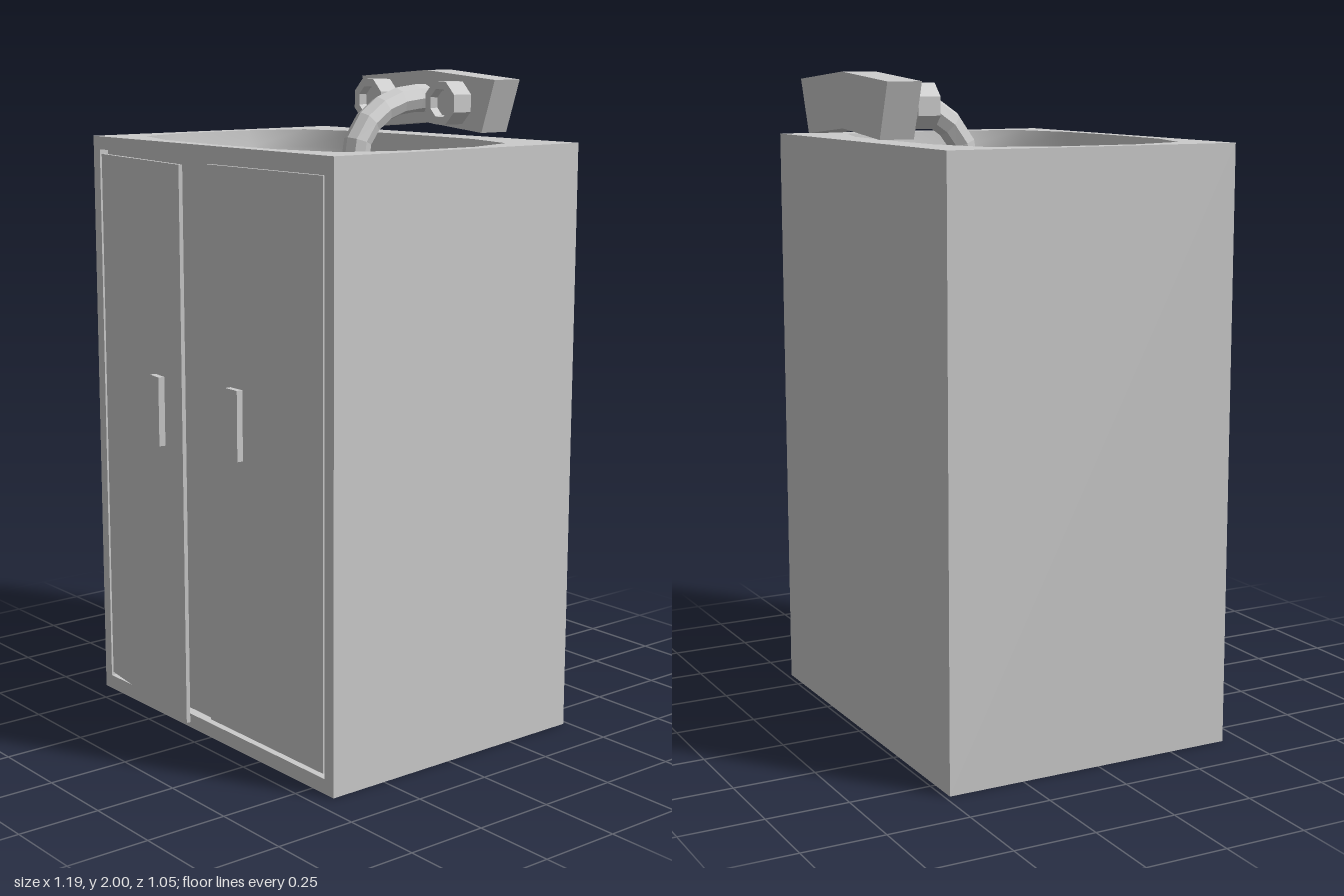
import * as THREE from 'three';

const material = new THREE.MeshStandardMaterial({ color: 0xcccccc, flatShading: true });
const smooth = new THREE.MeshStandardMaterial({ color: 0xcccccc });
const inward = new THREE.MeshStandardMaterial({ color: 0xcccccc, flatShading: true, side: THREE.BackSide });

const W = 0.595, H = 1.8, FRONT = 0.438, BACK = -0.485;

function add(parent, name, geometry, x = 0, y = 0, z = 0, mat = material) {
  const mesh = new THREE.Mesh(geometry, mat);
  mesh.name = name;
  mesh.position.set(x, y, z);
  parent.add(mesh);
  return mesh;
}

// Box without some faces (0 +x, 1 -x, 2 +y, 3 -y, 4 +z, 5 -z)
function openBox(w, h, d, omit) {
  const g = new THREE.BoxGeometry(w, h, d);
  const index = Array.from(g.index.array);
  g.setIndex(index.filter((_, i) => !omit.includes(Math.floor(i / 6))));
  g.clearGroups();
  return g;
}

function rectangle(x0, y0, x1, y1, Type = THREE.Shape) {
  return new Type([[x0, y0], [x1, y0], [x1, y1], [x0, y1]].map(p => new THREE.Vector2(...p)));
}

// Basin rim, going round from the +x side towards +z
const BASIN_Z = 0.008;
const quarter = [[0.54, 0.128], [0.475, 0.313], [0.27, 0.376]];
const rim = [
  ...quarter, [0, 0.387],
  ...quarter.slice().reverse().map(([x, z]) => [-x, z]),
  ...quarter.map(([x, z]) => [-x, -z]), [0, -0.387],
  ...quarter.slice().reverse().map(([x, z]) => [x, -z]),
];

function basinGeometry(depth, rings) {
  const positions = [], index = [], n = rim.length;
  for (let i = 0; i <= rings; i++) {
    const a = (i / rings) * Math.PI / 2;
    const s = i === rings ? 0 : Math.pow(Math.cos(a), 0.6);
    const y = -depth * Math.pow(Math.sin(a), 0.85);
    rim.forEach(([x, z]) => positions.push(x * s, y, z * s));
  }
  for (let i = 0; i < rings; i++) {
    for (let j = 0; j < n; j++) {
      const a = i * n + j, b = i * n + (j + 1) % n, c = a + n, d = b + n;
      index.push(a, c, b);
      if (i < rings - 1) index.push(b, c, d);
    }
  }
  const g = new THREE.BufferGeometry();
  g.setAttribute('position', new THREE.Float32BufferAttribute(positions, 3));
  g.setIndex(index);
  g.computeVertexNormals();
  return g;
}

function buildCabinet() {
  const cabinet = new THREE.Group();
  cabinet.name = 'cabinet';
  const depth = FRONT - BACK, midZ = (FRONT + BACK) / 2;
  add(cabinet, 'cabinetWalls', openBox(W * 2, H, depth, [2, 4]), 0, H / 2, midZ);

  // Worktop with the basin cut out
  const top = rectangle(-W, -FRONT, W, -BACK);
  top.holes.push(new THREE.Path(rim.map(([x, z]) => new THREE.Vector2(x, -(z + BASIN_Z)))));
  add(cabinet, 'worktop', new THREE.ShapeGeometry(top), 0, H, 0).rotation.x = -Math.PI / 2;
  add(cabinet, 'basin', basinGeometry(0.32, 12), 0, H, BASIN_Z, smooth);

  // Front frame and the shallow recess that holds the doors
  const x0 = -0.56, x1 = 0.555, y0 = 0.045, y1 = 1.76, recess = 0.03;
  const frame = rectangle(-W, 0, W, H);
  frame.holes.push(rectangle(x0, y0, x1, y1, THREE.Path));
  add(cabinet, 'frontFrame', new THREE.ShapeGeometry(frame), 0, 0, FRONT);
  add(cabinet, 'doorRecess', openBox(x1 - x0, y1 - y0, recess, [4]),
    (x0 + x1) / 2, (y0 + y1) / 2, FRONT - recess / 2, inward);
  return cabinet;
}

// Door hung at its hinge; side is +1 when it extends towards +x
function buildDoor(name, hingeX, side, width, handleX, angle) {
  const door = new THREE.Group();
  door.name = name;
  door.position.set(hingeX, 0, FRONT);
  door.rotation.y = angle;
  add(door, 'doorPanel', new THREE.BoxGeometry(width, 1.687, 0.012), side * width / 2, 0.903, -0.005);
  add(door, 'handle', new THREE.BoxGeometry(0.058, 0.21, 0.022), side * handleX, 1.005, 0.01);
  return door;
}

function buildTap() {
  const tap = new THREE.Group();
  tap.name = 'tap';
  tap.position.set(-0.012, 0, 0);

  // Wall plate
  const plate = new THREE.Shape([
    [-0.312, 1.976], [-0.257, 1.815], [0, 1.838], [0.257, 1.815], [0.312, 1.976], [0, 2],
  ].map(p => new THREE.Vector2(...p)));
  add(tap, 'wallPlate', new THREE.ExtrudeGeometry(plate, { depth: 0.105, bevelEnabled: false }), 0, 0, -0.53);

  // Octagonal knobs with a dished face, on short stems
  const profile = [[0.036, -0.03], [0.036, 0], [0.07, 0], [0.07, 0.07], [0.045, 0.07], [0.04, 0.045], [0, 0.045]]
    .map(p => new THREE.Vector2(...p));
  for (const side of [-1, 1]) {
    const knob = add(tap, side > 0 ? 'leftKnob' : 'rightKnob',
      new THREE.LatheGeometry(profile, 8, Math.PI / 8), side * 0.17, 1.905, -0.4);
    knob.rotation.x = Math.PI / 2;
  }

  // Curved spout with a closed end
  const path = new THREE.CatmullRomCurve3([
    [1.913, -0.45], [1.91, -0.33], [1.878, -0.235], [1.81, -0.158], [1.74, -0.138], [1.65, -0.137],
  ].map(([y, z]) => new THREE.Vector3(0, y, z)));
  add(tap, 'spout', new THREE.TubeGeometry(path, 7, 0.043, 8), 0, 0, 0);
  const end = add(tap, 'spoutEnd', new THREE.CircleGeometry(0.043, 8), 0, 1.65, -0.137);
  end.rotation.x = Math.PI / 2;
  return tap;
}

export function createModel() {
  const model = new THREE.Group();
  model.name = 'washstand';
  model.add(
    buildCabinet(),
    buildDoor('rightDoor', -0.548, 1, 0.535, 0.39, -0.141),
    buildDoor('leftDoor', 0.55, -1, 0.547, 0.4, 0),
    buildTap(),
  );
  return model;
}
